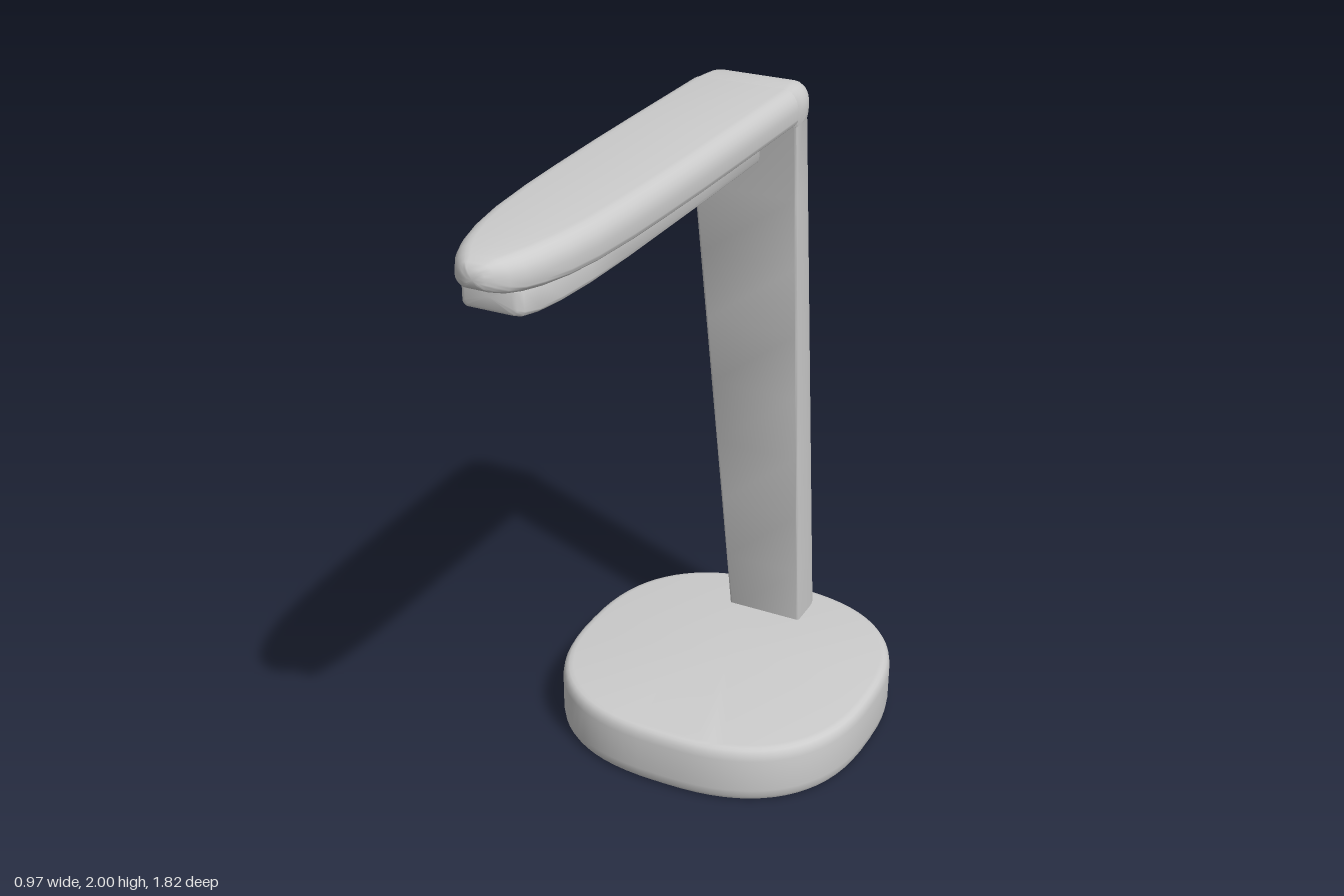
import * as THREE from 'three';
import { toCreasedNormals } from 'three/addons/utils/BufferGeometryUtils.js';

// Skin a list of closed rings (arrays of Vector3, equal length) and cap both ends.
function loft(rings, crease = 0.6) {
  const n = rings[0].length, pos = [], idx = [];
  const add = (p) => pos.push(p.x, p.y, p.z) / 3 - 1;
  rings.forEach((r) => r.forEach(add));
  for (let k = 0; k < rings.length - 1; k++) {
    for (let i = 0; i < n; i++) {
      const a = k * n + i, b = k * n + (i + 1) % n;
      idx.push(a, b, b + n, a, b + n, a + n);
    }
  }
  for (const k of [0, rings.length - 1]) {
    const mid = new THREE.Vector3();
    rings[k].forEach((p) => mid.addScaledVector(p, 1 / n));
    const c = add(mid);
    for (let i = 0; i < n; i++) {
      const a = k * n + i, b = k * n + (i + 1) % n;
      if (k === 0) idx.push(c, b, a);
      else idx.push(c, a, b);
    }
  }
  const g = new THREE.BufferGeometry();
  g.setAttribute('position', new THREE.Float32BufferAttribute(pos, 3));
  g.setIndex(idx);
  return toCreasedNormals(g, crease);
}

// Rounded slab section: inner edge at (y, z), growing outward by depth d.
// angle 0 points to the back, PI/2 points up.
function section({ y, z, w, d, rx, ry, ri, angle }) {
  const ring = [], steps = 6;
  const corners = [
    [w - ri, ri, ri, ri, -0.5], [w - rx, d - ry, rx, ry, 0],
    [-w + rx, d - ry, rx, ry, 0.5], [-w + ri, ri, ri, ri, 1],
  ];
  for (const [cs, ct, rs, rt, start] of corners) {
    for (let i = 0; i <= steps; i++) {
      const a = (start + 0.5 * i / steps) * Math.PI;
      const s = cs + rs * Math.cos(a), t = ct + rt * Math.sin(a);
      ring.push(new THREE.Vector3(s, y + t * Math.sin(angle), z - t * Math.cos(angle)));
    }
  }
  return ring;
}

const UP = Math.PI / 2;
const lerp = THREE.MathUtils.lerp;

// Squircle foot with softened rims
function baseGeometry() {
  const levels = [[0.025, 0], [0.01, 0.005], [0.003, 0.018], [0, 0.04], [0, 0.145],
    [0.003, 0.163], [0.01, 0.176], [0.018, 0.181], [0.03, 0.183]];
  const power = (v) => Math.sign(v) * Math.abs(v) ** (2 / 2.5);
  return loft(levels.map(([inset, y]) => Array.from({ length: 72 }, (_, i) => {
    const a = i / 72 * Math.PI * 2;
    return new THREE.Vector3((0.485 - inset) * power(Math.cos(a)), y,
      -0.435 - (0.475 - inset) * power(Math.sin(a)));
  })));
}

// Leaning post that widens upward and turns into the elbow
function postGeometry() {
  const rings = [];
  for (let i = 0; i <= 8; i++) {
    const t = i / 8;
    rings.push(section({
      y: lerp(0.16, 1.9, t), z: lerp(-0.713, -0.46, t), w: lerp(0.12, 0.162, t),
      d: lerp(0.17, 0.148, t), rx: lerp(0.045, 0.07, t), ry: lerp(0.08, 0.11, t),
      ri: 0.008, angle: 0,
    }));
  }
  for (let i = 1; i <= 14; i++) {
    const t = i / 14, a = t * UP;
    const d = ((Math.cos(a) / 0.148) ** 4 + (Math.sin(a) / 0.1) ** 4) ** -0.25;
    rings.push(section({
      y: 1.9, z: -0.46, w: 0.163, d, rx: lerp(0.07, 0.045, t), ry: lerp(0.11, 0.055, t),
      ri: 0.008, angle: a,
    }));
  }
  return loft(rings);
}

// Long arm with a tapering rounded nose: [z, half width, shrink of thickness]
function armGeometry() {
  const rows = [[-0.462, 0.165, 0], [-0.1, 0.165, 0], [0.1, 0.164, 0], [0.3, 0.16, 0],
    [0.45, 0.155, 0], [0.6, 0.145, 0.001], [0.7, 0.13, 0.002], [0.78, 0.11, 0.004],
    [0.83, 0.091, 0.007], [0.865, 0.07, 0.011], [0.888, 0.049, 0.018],
    [0.9, 0.03, 0.027], [0.906, 0.015, 0.036]];
  return loft(rows.map(([z, w, e]) => section({
    y: 1.902 + e, z, w, d: 0.098 - 2 * e, rx: Math.min(0.045, w * 0.6),
    ry: 0.055 * (1 - e / 0.05), ri: Math.min(0.02, w * 0.4, 0.049 - e), angle: UP,
  })));
}

// Light panel hanging below the arm: [z, half width, lift of the underside]
function panelGeometry() {
  const rows = [[-0.342, 0.1, 0.012], [-0.338, 0.11, 0.005], [-0.325, 0.115, 0.001],
    [0, 0.115, 0], [0.4, 0.115, 0.001], [0.58, 0.112, 0.003], [0.7, 0.104, 0.005],
    [0.78, 0.093, 0.008], [0.825, 0.08, 0.012], [0.84, 0.07, 0.018], [0.845, 0.06, 0.026]];
  return loft(rows.map(([z, w, e]) => section({
    y: 1.834 + e, z, w, d: 0.078 - e, rx: 0.004, ry: 0.004, ri: 0.014, angle: UP,
  })));
}

export function createModel() {
  const group = new THREE.Group();
  group.name = 'deskLamp';
  const grey = new THREE.MeshStandardMaterial({ color: 0xcccccc });
  grey.name = 'light grey';
  const parts = { base: baseGeometry(), post: postGeometry(), arm: armGeometry(), lightPanel: panelGeometry() };
  for (const [name, geometry] of Object.entries(parts)) {
    const mesh = new THREE.Mesh(geometry, grey);
    mesh.name = name;
    group.add(mesh);
  }
  return group;
}
